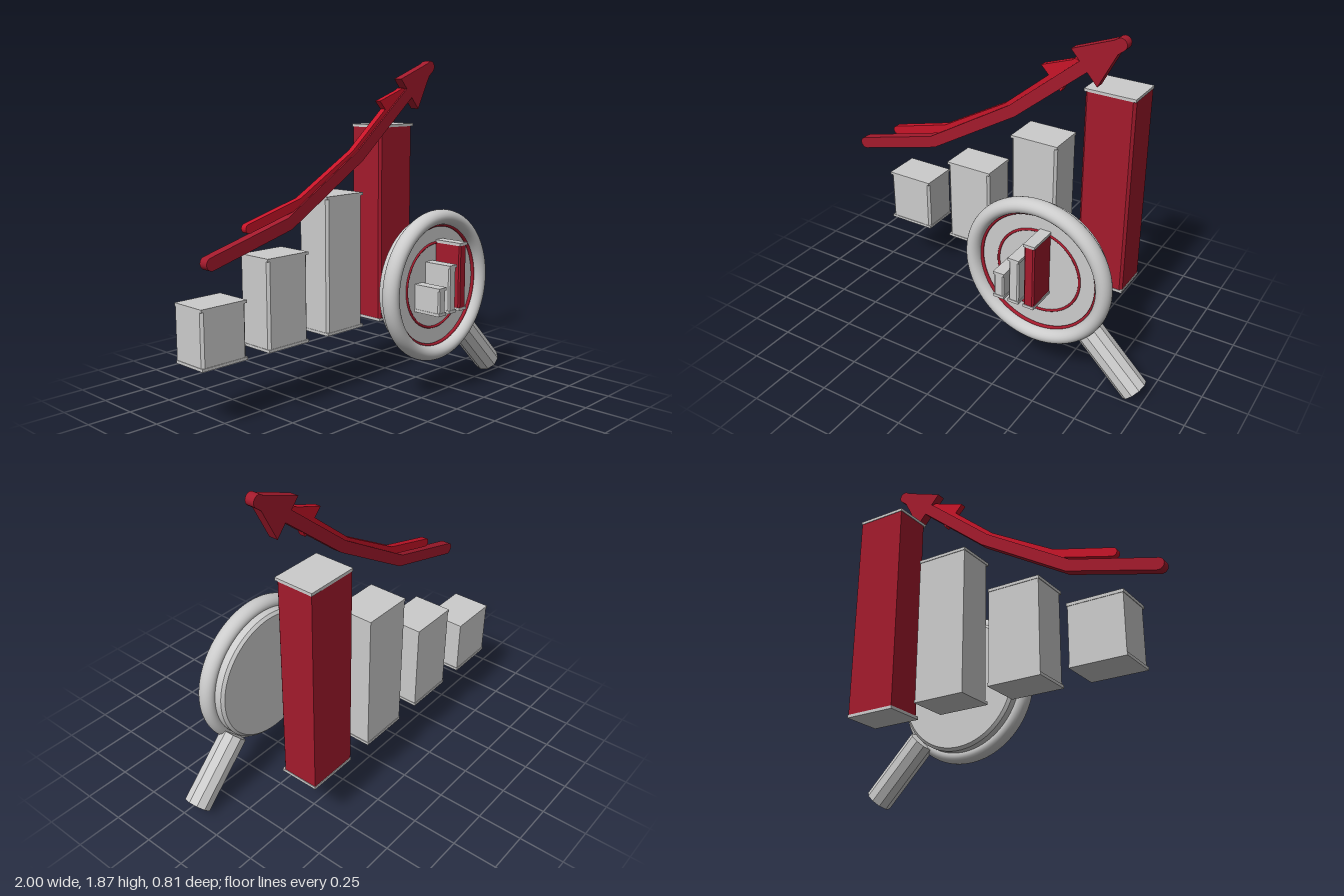
import * as THREE from 'three';
import { toCreasedNormals } from 'three/addons/utils/BufferGeometryUtils.js';

const material = (color) => new THREE.MeshStandardMaterial({ color });
const grey = material(0xcccccc);
const red = material(0xa31a2c);
const brightRed = material(0xc81428);

function part(parent, name, geometry, mat, x = 0, y = 0, z = 0) {
  const mesh = new THREE.Mesh(geometry, mat);
  mesh.name = name;
  mesh.position.set(x, y, z);
  parent.add(mesh);
  return mesh;
}

// Upright bar with chamfered front edges and a thin plate at each end
function bar(name, x0, x1, y0, y1, z0, z1, mat, chamfer, plate) {
  const group = new THREE.Group();
  group.name = name;
  const w = x1 - x0, d = z1 - z0, h = y1 - y0;
  const a = w / 2 - 0.003, b = d / 2 - 0.003, c = chamfer;
  // plan outline; shape y becomes -z once stood upright
  const plan = new THREE.Shape([
    [-a, b], [-a, -b + c], [-a + c, -b], [a - c, -b], [a, -b + c], [a, b],
  ].map(([x, y]) => new THREE.Vector2(x, y)));
  const core = new THREE.ExtrudeGeometry(plan, { depth: h - 2 * plate, bevelEnabled: false });
  core.rotateX(-Math.PI / 2);
  part(group, 'barBody', core, mat, 0, plate, 0);
  for (const y of [plate / 2, h - plate / 2]) {
    part(group, 'barEndPlate', new THREE.BoxGeometry(w, plate, d), grey, 0, y, 0);
  }
  group.position.set((x0 + x1) / 2, y0, (z0 + z1) / 2);
  return group;
}

// Mitred ribbon outline with round ends along a bent path
function ribbon(points, r) {
  const p = points.map(([x, y]) => new THREE.Vector2(x, y));
  const angle = (i) => Math.atan2(p[i + 1].y - p[i].y, p[i + 1].x - p[i].x);
  const polar = (c, a, d) => new THREE.Vector2(c.x + d * Math.cos(a), c.y + d * Math.sin(a));
  const last = p.length - 1;
  const side = (sign) => p.slice(1, last).map((q, k) => {
    const a = angle(k), b = angle(k + 1);
    return polar(q, (a + b) / 2 + sign * Math.PI / 2, r / Math.cos((b - a) / 2));
  });
  const cap = (c, start) => Array.from({ length: 13 }, (_, i) => polar(c, start + (Math.PI * i) / 12, r));
  return new THREE.Shape([
    ...side(-1),
    ...cap(p[last], angle(last - 1) - Math.PI / 2),
    ...side(1).reverse(),
    ...cap(p[0], angle(0) + Math.PI / 2),
  ]);
}

// Flat trend arrow: bent shaft plus triangular head
function arrow(name, path, head, r, z0, z1, mat) {
  const group = new THREE.Group();
  group.name = name;
  const options = { depth: z1 - z0, bevelEnabled: false };
  const triangle = new THREE.Shape(head.map(([x, y]) => new THREE.Vector2(x, y)));
  const shaft = toCreasedNormals(new THREE.ExtrudeGeometry(ribbon(path, r), options), 0.35);
  part(group, 'arrowShaft', shaft, mat, 0, 0, z0);
  part(group, 'arrowHead', new THREE.ExtrudeGeometry(triangle, options), mat, 0, 0, z0);
  return group;
}

function magnifier() {
  const group = new THREE.Group();
  group.name = 'magnifyingGlass';
  const cx = 0.372, cy = 0.631;

  // Rim, slightly deeper than it is wide
  const rim = new THREE.TorusGeometry(0.386, 0.042, 24, 96);
  rim.scale(1, 1, 1.17);
  part(group, 'rim', rim, grey, cx, cy, 0.25);

  // Backing disc turned around z
  const profile = [[0, 0.146], [0.362, 0.146], [0.378, 0.16], [0.378, 0.21], [0.35, 0.235], [0, 0.235]];
  const disc = new THREE.LatheGeometry(profile.map(([r, z]) => new THREE.Vector2(r, z)), 96);
  disc.rotateX(Math.PI / 2);
  part(group, 'lensDisc', toCreasedNormals(disc, 0.4), grey, cx, cy, 0);

  // Red trim rings
  part(group, 'outerTrimRing', new THREE.TorusGeometry(0.342, 0.01, 10, 96), red, cx, cy, 0.245);
  part(group, 'innerTrimRing', new THREE.TorusGeometry(0.241, 0.007, 10, 96), red, cx, cy, 0.236);

  // Ten-sided handle
  const from = new THREE.Vector3(0.645, 0.355, 0.197);
  const to = new THREE.Vector3(0.945, 0.056, 0.197);
  const axis = to.clone().sub(from);
  const handle = new THREE.CylinderGeometry(0.077, 0.077, axis.length(), 10);
  handle.rotateY(Math.PI / 10);
  const grip = part(group, 'handle', toCreasedNormals(handle, 0.3), grey);
  grip.position.copy(from).lerp(to, 0.5);
  grip.quaternion.setFromUnitVectors(new THREE.Vector3(0, 1, 0), axis.normalize());

  // Small chart standing out from the lens
  [[0.2, 0.663], [0.288, 0.775], [0.377, 0.888]].forEach(([x, top], i) => {
    group.add(bar('lensBar', x, x + 0.064, 0.508, top, 0.22, 0.405, i === 2 ? red : grey, 0.008, 0.016));
  });
  return group;
}

export function createModel() {
  const model = new THREE.Group();
  model.name = 'growthChart';

  // Four rising bars, the tallest one red
  [0.655, 0.845, 1.13, 1.507].forEach((top, i) => {
    const x = -0.925 + i * 0.435;
    model.add(bar('chartBar', x, x + 0.29, 0.335, top, -0.41, -0.188, i === 3 ? red : grey, 0.014, 0.016));
  });

  // Trend arrows
  model.add(arrow('mainArrow',
    [[-0.968, 0.914], [-0.473, 1.048], [0.045, 1.36], [0.435, 1.68], [0.637, 1.838]],
    [[0.377, 1.77], [0.527, 1.6], [0.655, 1.845], [0.63, 1.865]],
    0.033, -0.081, -0.028, red));
  model.add(arrow('thinArrow',
    [[-0.73, 1.053], [-0.38, 1.148], [0.01, 1.37], [0.4, 1.695]],
    [[0.21, 1.65], [0.325, 1.53], [0.415, 1.695], [0.395, 1.715]],
    0.024, -0.073, -0.037, brightRed));

  model.add(magnifier());
  return model;
}
